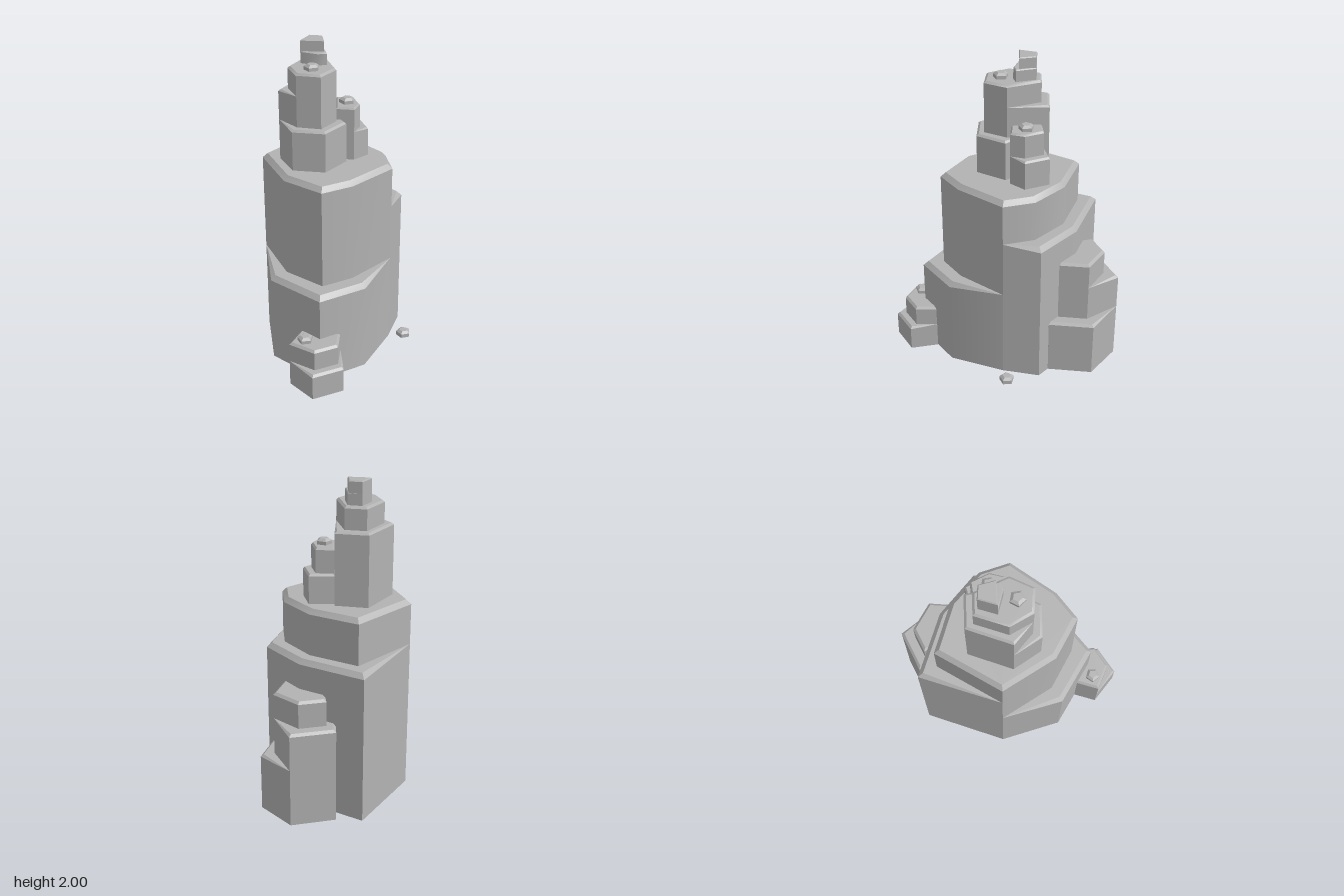
import * as THREE from 'three';
import { toCreasedNormals } from 'three/addons/utils/BufferGeometryUtils.js';

const stone = new THREE.MeshStandardMaterial({ color: 0xb2b2b2 });
stone.name = 'grey stone';

// Vertical prism from a convex outline of [x, z, bevelFactor] with a chamfered top rim.
function rockGeometry(outline, y0, y1, width, drop) {
  const count = outline.length;
  let area = 0;
  outline.forEach(([x, z], i) => {
    const [nx, nz] = outline[(i + 1) % count];
    area += z * nx - x * nz;
  });
  const pts = area > 0 ? outline : [...outline].reverse();
  const edgeNormal = (a, b) => new THREE.Vector2(-(b[1] - a[1]), b[0] - a[0]).normalize();

  const base = [], rim = [], top = [];
  pts.forEach((p, i) => {
    const k = p[2] ?? 1;
    const n1 = edgeNormal(pts[(i + count - 1) % count], p);
    const n2 = edgeNormal(p, pts[(i + 1) % count]);
    const m = n1.clone().add(n2).multiplyScalar((width * k) / (1 + n1.dot(n2)));
    base.push([p[0], y0, p[1]]);
    rim.push([p[0], y1 - drop * k, p[1]]);
    top.push([p[0] - m.x, y1, p[1] - m.y]);
  });

  const pos = [];
  const tri = (a, b, c) => pos.push(...a, ...b, ...c);
  for (let i = 0; i < count; i++) {
    const j = (i + 1) % count;
    for (const [lo, hi] of [[base, rim], [rim, top]]) {
      tri(lo[i], lo[j], hi[j]);
      tri(lo[i], hi[j], hi[i]);
    }
    if (i > 0 && j > 0) {
      tri(top[0], top[i], top[j]);
      tri(base[0], base[j], base[i]);
    }
  }
  const geo = new THREE.BufferGeometry();
  geo.setAttribute('position', new THREE.Float32BufferAttribute(pos, 3));
  return toCreasedNormals(geo, 0.64);
}

export function createModel() {
  const model = new THREE.Group();
  model.name = 'rockSpire';

  const cluster = (name, width, drop, tiers) => {
    const group = new THREE.Group();
    group.name = name;
    for (const [tierName, y0, y1, outline] of tiers) {
      const mesh = new THREE.Mesh(rockGeometry(outline, y0, y1, width, drop), stone);
      mesh.name = tierName;
      group.add(mesh);
    }
    model.add(group);
  };

  // Main massif: a tall column with a low ledge in front and a high ledge behind
  cluster('massif', 0.028, 0.03, [
    ['mainColumn', 0, 1.26, [[-0.054, -0.52], [0.19, -0.295], [0.295, -0.05], [0.268, 0.152],
      [-0.04, 0.315], [-0.245, 0.354], [-0.41, 0.12], [-0.45, -0.26]]],
    ['frontLedge', 0, 0.6, [[0.268, 0.152, 0], [0.012, 0.412], [-0.3, 0.478], [-0.517, 0.145],
      [-0.45, -0.26, 0]]],
    ['backLedge', 0, 0.97, [[-0.45, -0.26, 0], [-0.054, -0.654], [0.265, -0.35], [0.407, -0.04],
      [0.268, 0.152, 0]]],
  ]);

  // Spire on top of the massif
  cluster('spire', 0.014, 0.012, [
    ['spireColumn', 1.25, 1.855, [[-0.305, -0.14], [-0.295, 0.015], [-0.165, 0.088], [-0.04, -0.01],
      [-0.035, -0.235], [-0.157, -0.29]]],
    ['spireFrontLedge', 1.25, 1.52, [[-0.365, -0.142, 0], [-0.337, 0.055], [-0.157, 0.143],
      [0.012, 0.024], [-0.035, -0.235, 0]]],
    ['spireBackLedge', 1.25, 1.715, [[-0.365, -0.142], [-0.157, -0.346], [0.03, -0.26],
      [-0.04, -0.01, 0], [-0.295, 0.015, 0]]],
  ]);

  // Crown stones at the summit
  cluster('crown', 0.006, 0.006, [
    ['crownPeak', 1.84, 2.0, [[-0.137, -0.25], [-0.065, -0.21], [-0.085, -0.108], [-0.217, -0.165]]],
    ['crownStep', 1.84, 1.93, [[-0.137, -0.25], [-0.06, -0.21], [-0.075, -0.083], [-0.13, -0.09],
      [-0.217, -0.165]]],
  ]);

  // Small outcrop beside the spire
  cluster('upperOutcrop', 0.01, 0.012, [
    ['outcropTop', 1.25, 1.6, [[0.125, -0.18], [0.125, -0.055], [0.065, 0.015], [-0.035, -0.035],
      [0.02, -0.215]]],
    ['outcropStep', 1.25, 1.445, [[0.172, -0.2], [0.172, -0.035], [0.065, 0.015, 0], [-0.035, -0.035, 0],
      [0.02, -0.228]]],
  ]);

  // Outcrop at the back
  cluster('backOutcrop', 0.016, 0.015, [
    ['backTop', 0, 0.78, [[0.14, -0.535], [0.31, -0.535], [0.428, -0.365], [0.33, -0.2], [0.1, -0.2]]],
    ['backMiddle', 0, 0.61, [[0.098, -0.606], [0.379, -0.606], [0.428, -0.365, 0], [0.33, -0.2, 0],
      [0.05, -0.36]]],
    ['backBase', 0, 0.373, [[0.098, -0.606, 0], [0.379, -0.606, 0], [0.514, -0.367], [0.37, -0.122],
      [0.1, -0.128]]],
  ]);

  // Outcrop at the front
  cluster('frontOutcrop', 0.014, 0.014, [
    ['frontTop', 0, 0.305, [[-0.49, 0.457], [-0.37, 0.595], [-0.215, 0.575], [-0.163, 0.45],
      [-0.38, 0.34]]],
    ['frontBase', 0, 0.17, [[-0.49, 0.457, 0], [-0.4, 0.65], [-0.195, 0.625], [-0.16, 0.45, 0],
      [-0.38, 0.34, 0]]],
  ]);

  // Five-sided pebbles, with one corner pointing back
  const pebbles = [[-0.39, 0.3, 0.463], [0.368, 0, 0.17], [-0.185, 1.85, -0.032], [0.054, 1.595, -0.095]];
  cluster('pebbles', 0.016, 0.014, pebbles.map(([x, y, z], i) => {
    const outline = Array.from({ length: 5 }, (_, k) => {
      const a = (k / 5) * Math.PI * 2 + (i === 0 ? 0.12 : 0);
      return [x + 0.048 * Math.sin(a), z - 0.048 * Math.cos(a)];
    });
    return ['pebble', y, y + 0.04, outline];
  }));

  return model;
}
